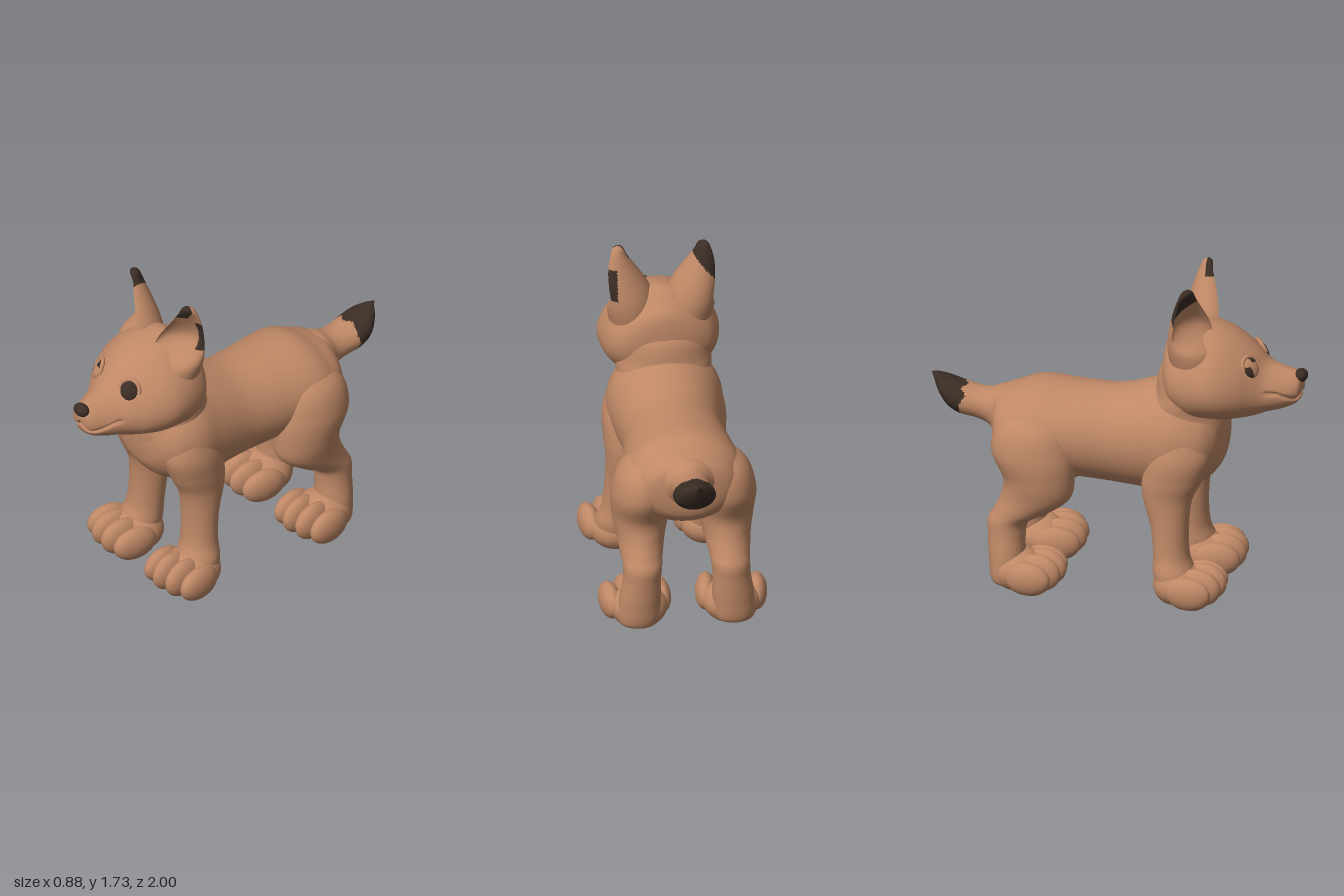
import * as THREE from 'three';
import { mergeGeometries } from 'three/addons/utils/BufferGeometryUtils.js';

const X = new THREE.Vector3(1, 0, 0), Y = new THREE.Vector3(0, 1, 0), Z = new THREE.Vector3(0, 0, 1);

// Smooth skin through elliptical sections [x, y, z, radiusU, radiusV, narrowing, hollow]
function loft(sections, u, v, around = 64, steps = 8) {
  const pos = [], index = [], n = sections.length, rows = (n - 1) * steps;
  const value = (i, k) => sections[Math.min(n - 1, Math.max(0, i))][k] ?? 0;
  for (let r = 0; r <= rows; r++) {
    const i = Math.min(n - 2, Math.floor(r / steps)), t = r / steps - i;
    const [x, y, z, a, b, k, hollow] = [0, 1, 2, 3, 4, 5, 6].map((c) => {
      const p0 = value(i - 1, c), p1 = value(i, c), p2 = value(i + 1, c), p3 = value(i + 2, c);
      return p1 + 0.5 * t * (p2 - p0 + t * (2 * p0 - 5 * p1 + 4 * p2 - p3 + t * (3 * (p1 - p2) + p3 - p0)));
    });
    for (let j = 0; j < around; j++) {
      const angle = (j / around) * Math.PI * 2, s = Math.sin(angle);
      const p = Math.max(0, a) * Math.cos(angle) * (1 - k * s);
      const q = Math.max(0, b) * s * (s > 0 ? 1 - hollow : 1);
      pos.push(x + u.x * p + v.x * q, y + u.y * p + v.y * q, z + u.z * p + v.z * q);
      if (r < rows) {
        const A = r * around + j, B = r * around + (j + 1) % around;
        index.push(A, B, A + around, B, B + around, A + around);
      }
    }
  }
  const geo = new THREE.BufferGeometry();
  geo.setAttribute('position', new THREE.Float32BufferAttribute(pos, 3));
  geo.setIndex(index);
  geo.computeVertexNormals();
  return geo;
}

// Mirrored copy across x = 0, with the corner order turned round
function mirror(geo) {
  const g = geo.clone().scale(-1, 1, 1), a = g.index.array;
  for (let i = 0; i < a.length; i += 3) [a[i], a[i + 1]] = [a[i + 1], a[i]];
  g.computeVertexNormals();
  return g;
}

// Split the faces into two material groups: plain, and marked where test is true
function paint(geo, test) {
  const p = geo.attributes.position, a = geo.index.array, plain = [], marked = [];
  for (let i = 0; i < a.length; i += 3) {
    const f = [a[i], a[i + 1], a[i + 2]];
    const mid = (get) => f.reduce((sum, k) => sum + p[get](k), 0) / 3;
    (test(mid('getX'), mid('getY'), mid('getZ')) ? marked : plain).push(...f);
  }
  geo.setIndex([...plain, ...marked]);
  geo.clearGroups();
  geo.addGroup(0, plain.length, 0);
  geo.addGroup(plain.length, marked.length, 1);
  return geo;
}

// Ellipsoid flattened where it meets the ground
function pad(x, y, z, rx, ry, rz) {
  const g = new THREE.SphereGeometry(1, 28, 20).scale(rx, ry, rz).translate(x, y, z);
  const p = g.attributes.position;
  for (let i = 0; i < p.count; i++) p.setY(i, Math.max(p.getY(i), 0.008));
  g.computeVertexNormals();
  return g;
}

// Heel pad and four toes, turned slightly outward
function paw(x, z) {
  const parts = [pad(0, 0.09, -0.07, 0.15, 0.115, 0.14)];
  [-0.132, -0.046, 0.046, 0.132].forEach((dx, i) => {
    const inner = i === 1 || i === 2;
    parts.push(pad(dx, inner ? 0.1 : 0.092, inner ? 0.045 : 0.02, 0.056, inner ? 0.1 : 0.09, 0.125));
  });
  return mergeGeometries(parts).rotateY(0.12).translate(x, 0, z);
}

export function createModel() {
  const fur = new THREE.MeshStandardMaterial({ color: 0xbf8866 });
  fur.name = 'tan fur';
  const dark = new THREE.MeshStandardMaterial({ color: 0x3b2d25 });
  dark.name = 'dark markings';
  const model = new THREE.Group();
  model.name = 'foxCub';
  const add = (name, geo, material = fur) => {
    const mesh = new THREE.Mesh(geo, material);
    mesh.name = name;
    model.add(mesh);
    return mesh;
  };
  const pair = (name, geo) => {
    add(name + 'Left', geo);
    add(name + 'Right', mirror(geo));
  };

  // Torso and neck
  add('torso', loft([
    [0, 0.84, -0.66, 0, 0], [0, 0.84, -0.645, 0.14, 0.13], [0, 0.83, -0.61, 0.23, 0.175],
    [0, 0.82, -0.54, 0.28, 0.21], [0, 0.82, -0.42, 0.31, 0.25], [0, 0.815, -0.2, 0.285, 0.25],
    [0, 0.81, 0, 0.265, 0.26], [0, 0.83, 0.2, 0.285, 0.295], [0, 0.85, 0.35, 0.305, 0.31],
    [0, 0.85, 0.48, 0.27, 0.24], [0, 0.85, 0.55, 0.19, 0.16], [0, 0.85, 0.575, 0.09, 0.08], [0, 0.85, 0.585, 0, 0],
  ], X, Y));
  add('neck', loft([
    [0, 0.58, 0.36, 0, 0], [0, 0.64, 0.36, 0.15, 0.17], [0, 0.75, 0.38, 0.19, 0.25], [0, 0.9, 0.4, 0.187, 0.275],
    [0, 1, 0.375, 0.208, 0.25], [0, 1.1, 0.39, 0.185, 0.25], [0, 1.25, 0.42, 0.17, 0.22], [0, 1.35, 0.43, 0, 0],
  ], Z, X));

  // Head, with a mouth line pressed into the muzzle
  const head = loft([
    [0.01, 1.24, 0.245, 0, 0, 0.1], [0.01, 1.235, 0.265, 0.15, 0.13, 0.15], [0.01, 1.225, 0.32, 0.25, 0.2, 0.2],
    [0.01, 1.225, 0.41, 0.295, 0.26, 0.2], [0.01, 1.22, 0.52, 0.312, 0.25, 0.2], [0.012, 1.205, 0.6, 0.295, 0.235, 0.2],
    [0.016, 1.185, 0.68, 0.25, 0.205, 0.2], [0.02, 1.165, 0.74, 0.2, 0.175, 0.2], [0.025, 1.145, 0.8, 0.158, 0.135, 0.2],
    [0.03, 1.14, 0.88, 0.12, 0.11, 0.2], [0.034, 1.145, 0.94, 0.09, 0.088, 0.15], [0.036, 1.155, 0.97, 0.06, 0.06, 0.1],
    [0.036, 1.16, 0.98, 0, 0, 0],
  ], X, Y, 128, 10);
  const hp = head.attributes.position;
  for (let i = 0; i < hp.count; i++) {
    const x = hp.getX(i), y = hp.getY(i), z = hp.getZ(i), d = Math.abs(x - 0.035);
    if (z < 0.79) continue;
    const line = 1.135 - 0.035 * Math.sin(Math.min(1, d / 0.13) * Math.PI) + 0.4 * Math.max(0, d - 0.12);
    const pull = 0.12 * Math.exp(-(((y - line) / 0.009) ** 2)) * Math.min(1, (z - 0.79) / 0.03);
    hp.setXYZ(i, x + (0.035 - x) * pull, y, z + (0.85 - z) * pull);
  }
  head.computeVertexNormals();
  add('head', head);
  add('nose', new THREE.SphereGeometry(1, 28, 20).scale(0.05, 0.034, 0.036).translate(0.036, 1.208, 0.964), dark);

  // Eyes and upper lids, facing out from the brow
  for (const [side, x] of [[1, 0.143], [-1, -0.117]]) {
    const turn = new THREE.Quaternion().setFromUnitVectors(Z, new THREE.Vector3(0.5 * side, 0.42, 0.75).normalize());
    const place = (g) => g.applyQuaternion(turn).translate(x, 1.288, 0.735);
    const eye = place(new THREE.SphereGeometry(1, 40, 32).scale(0.047, 0.055, 0.02));
    const name = side > 0 ? 'Left' : 'Right';
    if (side > 0) add('eye' + name, eye, dark);
    else add('eye' + name, paint(eye, (px, py) => px < -0.138 && py < 1.3 || px > -0.115 && py > 1.315), [fur, dark]);
    add('eyelid' + name, place(new THREE.TorusGeometry(0.055, 0.011, 10, 32, Math.PI).scale(1, 1.1, 1)));
  }

  // Cupped ears, opening forward and outward
  const c = Math.cos(0.7), s = Math.sin(0.7);
  const ear = loft([
    [0.16, 1.3, 0.43, 0.12, 0.12, 0, 0], [0.17, 1.38, 0.43, 0.132, 0.125, 0, 0.2], [0.177, 1.45, 0.43, 0.132, 0.115, 0, 0.9],
    [0.197, 1.52, 0.43, 0.117, 0.1, 0, 1.4], [0.222, 1.6, 0.425, 0.088, 0.075, 0, 1.4], [0.237, 1.67, 0.42, 0.056, 0.048, 0, 1],
    [0.236, 1.715, 0.42, 0.032, 0.028, 0, 0.3], [0.235, 1.735, 0.42, 0, 0, 0, 0],
  ], new THREE.Vector3(-c, 0, s), new THREE.Vector3(s, 0, c), 80, 10);
  const rightEar = mirror(ear).translate(0.02, 0, 0);
  add('earLeft', paint(ear, (x, y, z) =>
    (y > 1.65 && z > 0.415) || (y > 1.45 && y < 1.62 && z < 0.415 && x > 0.245)), [fur, dark]);
  add('earRight', paint(rightEar, (x, y) => y > 1.52 + 1.2 * (x + 0.28)), [fur, dark]);

  // Legs and paws
  pair('frontLeg', loft([
    [0.24, 0.02, 0.36, 0, 0], [0.24, 0.04, 0.36, 0.08, 0.1], [0.24, 0.15, 0.355, 0.11, 0.12], [0.225, 0.25, 0.337, 0.095, 0.105],
    [0.215, 0.4, 0.325, 0.1, 0.1], [0.21, 0.55, 0.312, 0.13, 0.1], [0.205, 0.66, 0.335, 0.158, 0.115],
    [0.19, 0.8, 0.37, 0.165, 0.13], [0.16, 0.95, 0.38, 0.1, 0.1], [0.15, 1, 0.38, 0, 0],
  ], Z, X));
  pair('frontPaw', paw(0.245, 0.455));
  pair('hindLeg', loft([
    [0.25, 0.01, -0.53, 0, 0], [0.25, 0.03, -0.53, 0.08, 0.1], [0.245, 0.15, -0.535, 0.095, 0.11], [0.235, 0.28, -0.54, 0.098, 0.1],
    [0.23, 0.36, -0.53, 0.11, 0.102], [0.228, 0.42, -0.46, 0.15, 0.113], [0.225, 0.5, -0.39, 0.183, 0.13],
    [0.222, 0.6, -0.373, 0.188, 0.15], [0.22, 0.75, -0.41, 0.215, 0.157], [0.19, 0.9, -0.42, 0.17, 0.13], [0.16, 0.99, -0.42, 0, 0],
  ], Z, X));
  pair('hindPaw', paw(0.25, -0.4));

  // Tail with a dark, ragged tip
  add('tail', paint(loft([
    [0, 1.045, -1, 0, 0], [0, 1.03, -0.985, 0.016, 0.02], [0, 0.995, -0.955, 0.06, 0.05], [0, 0.955, -0.905, 0.1, 0.075],
    [0, 0.925, -0.84, 0.11, 0.085], [0, 0.905, -0.75, 0.1, 0.085], [0, 0.89, -0.68, 0.105, 0.1], [0, 0.87, -0.62, 0.15, 0.14],
    [0, 0.86, -0.56, 0.16, 0.15],
  ], X, Y), (x, y, z) => z < -0.815 + 0.012 * Math.sin(x * 60 + y * 40)), [fur, dark]);

  return model;
}
